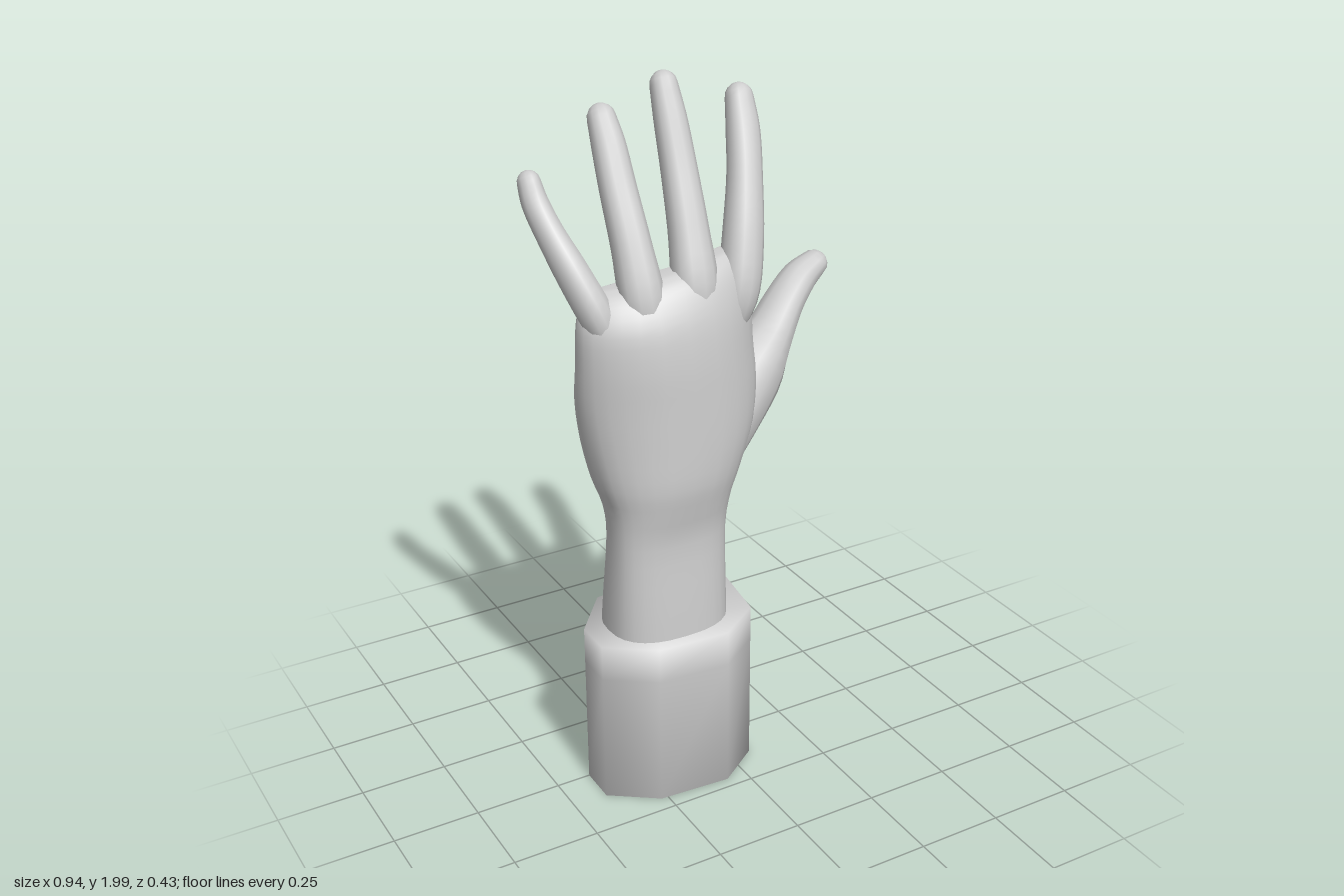
import * as THREE from 'three';

const V = (x, y, z) => new THREE.Vector3(x, y, z);

// Smoothly resample a table of rows into n + 1 rows
function resample(rows, n) {
  const size = rows[0].length;
  const curve = new THREE.CubicInterpolant(rows.map((_, i) => i), rows.flat(), size);
  return Array.from({ length: n + 1 }, (_, i) =>
    Array.from(curve.evaluate((i / n) * (rows.length - 1))));
}

// Skin a stack of rings and close both ends
function loft(rings) {
  const n = rings[0].length, pos = [], idx = [];
  const put = (p) => pos.push(p.x, p.y, p.z) / 3 - 1;
  const ids = rings.map((r) => r.map(put));
  for (let k = 0; k < rings.length - 1; k++) {
    for (let i = 0; i < n; i++) {
      const j = (i + 1) % n, a = ids[k], b = ids[k + 1];
      idx.push(a[i], b[i], a[j], a[j], b[i], b[j]);
    }
  }
  for (const k of [0, rings.length - 1]) {
    const ring = ids[k];
    const mid = put(rings[k].reduce((s, p) => s.add(p), V(0, 0, 0)).divideScalar(n));
    for (let i = 0; i < n; i++) {
      const j = (i + 1) % n;
      if (k === 0) idx.push(mid, ring[i], ring[j]);
      else idx.push(mid, ring[j], ring[i]);
    }
  }
  const g = new THREE.BufferGeometry();
  g.setAttribute('position', new THREE.Float32BufferAttribute(pos, 3));
  g.setIndex(idx);
  g.computeVertexNormals();
  return g;
}

// Round-tipped digit; rows are [x, y, z, half width, half depth]
function digit(rows) {
  const steps = 22, sides = 12;
  const path = resample(rows, steps);
  const at = (i) => V(...path[Math.max(0, Math.min(steps, i))].slice(0, 3));
  const end = at(steps), rings = [];
  const addRing = (c, t, rw, rd) => {
    const d = V(0, 0, 1).addScaledVector(t, -t.z).normalize();
    const s = t.clone().cross(d);
    rings.push(Array.from({ length: sides }, (_, k) => {
      const a = (k / sides) * Math.PI * 2;
      return c.clone().addScaledVector(s, Math.cos(a) * rw).addScaledVector(d, Math.sin(a) * rd);
    }));
  };
  path.forEach((p, i) => {
    const t = at(i + 1).sub(at(i - 1)).normalize();
    addRing(at(i), t, p[3], p[4]);
  });
  // domed tip
  const tip = path[steps], t = end.clone().sub(at(steps - 1)).normalize();
  for (const a of [0.4, 0.8, 1.15, 1.4]) {
    addRing(end.clone().addScaledVector(t, Math.sin(a) * tip[3]), t,
      Math.cos(a) * tip[3], Math.cos(a) * tip[4]);
  }
  return loft(rings);
}

// Palm and wrist; rows are [y, x min, x max, back z, palm z, arch, tilt]
function palmGeometry() {
  const rows = [
    [0.45, -0.345, 0.012, 0.178, -0.105, 0, 0],
    [0.60, -0.338, 0.010, 0.168, -0.088, 0, 0],
    [0.78, -0.330, 0.010, 0.155, -0.065, 0, 0],
    [0.88, -0.335, 0.030, 0.168, -0.075, 0.01, 0],
    [0.96, -0.358, 0.070, 0.180, -0.085, 0.03, 0],
    [1.07, -0.380, 0.120, 0.178, -0.075, 0.05, 0],
    [1.19, -0.395, 0.135, 0.172, -0.045, 0.065, 0],
    [1.30, -0.397, 0.122, 0.165, -0.015, 0.065, 0],
    [1.40, -0.395, 0.118, 0.148, -0.015, 0.055, 0.005],
    [1.47, -0.382, 0.122, 0.118, -0.015, 0.05, 0.02],
    [1.51, -0.362, 0.115, 0.088, -0.003, 0.05, 0.028],
    [1.53, -0.335, 0.090, 0.055, 0.020, 0.045, 0.03],
  ];
  const sides = 28, bow = (v, e) => Math.sign(v) * Math.abs(v) ** e;
  return loft(resample(rows, 33).map(([y, x0, x1, zf, zb, arch, tilt]) =>
    Array.from({ length: sides }, (_, k) => {
      const a = (k / sides) * Math.PI * 2;
      const u = bow(Math.cos(a), 0.8), w = bow(Math.sin(a), 0.8);
      return V((x0 + x1) / 2 + u * (x1 - x0) / 2, y + tilt * u,
        (zf + zb) / 2 + w * (zf - zb) / 2 - arch * u * u);
    })));
}

// Eight-sided sleeve cuff, flaring toward the thumb and palm at the top
function cuffGeometry() {
  const outline = [[0.065, 0.13], [-0.06, 0.217], [-0.27, 0.203], [-0.4, 0.11],
    [-0.4, 0], [-0.29, -0.105], [-0.06, -0.125], [0.065, -0.07]];
  const ring = (y, f) => outline.map(([x, z]) =>
    V(x > 0 && z < 0 ? x + 0.035 * f : x, y, z < -0.01 ? z - 0.033 * f : z));
  return loft([ring(0.008, 0), ring(0.4, 0.95), ring(0.505, 0.95)]);
}

const digits = {
  littleFinger: [
    [-0.31, 1.32, 0.05, 0.02, 0.02], [-0.342, 1.43, 0.03, 0.046, 0.05],
    [-0.382, 1.54, -0.022, 0.046, 0.052], [-0.415, 1.64, -0.085, 0.039, 0.043],
    [-0.432, 1.71, -0.13, 0.036, 0.037], [-0.436, 1.762, -0.157, 0.031, 0.032]],
  ringFinger: [
    [-0.215, 1.34, 0.07, 0.03, 0.03], [-0.225, 1.46, 0.055, 0.060, 0.058],
    [-0.227, 1.60, 0.0, 0.054, 0.054], [-0.223, 1.73, -0.075, 0.050, 0.048],
    [-0.217, 1.83, -0.135, 0.046, 0.044], [-0.216, 1.895, -0.175, 0.039, 0.037]],
  middleFinger: [
    [-0.08, 1.34, 0.07, 0.03, 0.03], [-0.073, 1.47, 0.06, 0.062, 0.058],
    [-0.062, 1.62, 0.005, 0.055, 0.053], [-0.051, 1.77, -0.065, 0.049, 0.047],
    [-0.046, 1.88, -0.115, 0.045, 0.043], [-0.045, 1.965, -0.152, 0.038, 0.036]],
  indexFinger: [
    [0.03, 1.31, 0.06, 0.02, 0.02], [0.06, 1.43, 0.055, 0.054, 0.058],
    [0.095, 1.57, 0.02, 0.056, 0.057], [0.132, 1.72, -0.035, 0.049, 0.048],
    [0.156, 1.83, -0.085, 0.047, 0.044], [0.166, 1.912, -0.123, 0.039, 0.037]],
  thumb: [
    [-0.07, 0.82, 0.04, 0.03, 0.04], [0.005, 0.95, -0.005, 0.080, 0.095],
    [0.075, 1.065, -0.03, 0.105, 0.113], [0.158, 1.165, -0.04, 0.103, 0.095],
    [0.236, 1.24, -0.07, 0.069, 0.075], [0.305, 1.305, -0.108, 0.055, 0.065],
    [0.375, 1.357, -0.138, 0.051, 0.054], [0.433, 1.388, -0.150, 0.040, 0.042]],
};

export function createModel() {
  const model = new THREE.Group();
  model.name = 'hand';
  const grey = new THREE.MeshStandardMaterial({ color: 0xcccccc });
  grey.name = 'light grey';
  const add = (name, geometry) => {
    const mesh = new THREE.Mesh(geometry, grey);
    mesh.name = name;
    model.add(mesh);
  };
  add('cuff', cuffGeometry());
  add('palmAndWrist', palmGeometry());
  for (const [name, rows] of Object.entries(digits)) add(name, digit(rows));
  return model;
}
